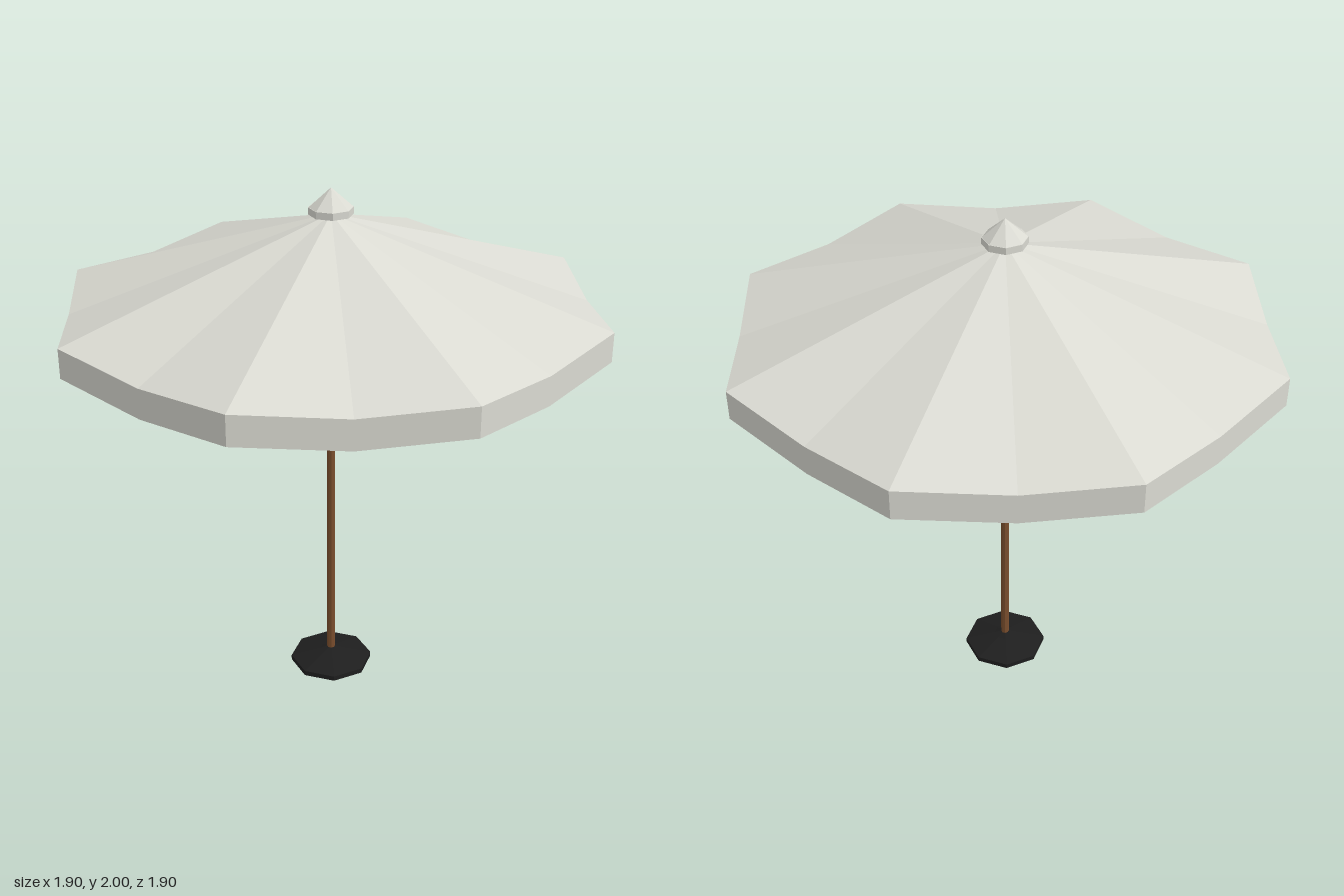
import * as THREE from 'three';

const SIDES = 8;

export function createModel() {
  const group = new THREE.Group();
  group.name = 'parasol';
  const material = (name, color, side = THREE.FrontSide) =>
    Object.assign(new THREE.MeshStandardMaterial({ color, flatShading: true, side }), { name });
  const fabric = material('pale fabric', 0xdadad2, THREE.DoubleSide);
  const wood = material('brown wood', 0x7a4e2d);
  const iron = material('black iron', 0x1e1e1e, THREE.DoubleSide);

  const add = (name, geometry, mat, y = 0, parent = group) => {
    const mesh = new THREE.Mesh(geometry, mat);
    mesh.name = name;
    mesh.position.y = y;
    parent.add(mesh);
    return mesh;
  };

  // Canopy rim: eight corners with sagging midpoints between them
  const R = 1.028;
  const rim = (i, drop) => {
    const a = Math.PI / 8 + (i * Math.PI) / 8;
    const middle = i % 2 === 1;
    const r = middle ? R * Math.cos(Math.PI / 8) : R;
    return [r * Math.sin(a), (middle ? 1.55 : 1.58) - drop, r * Math.cos(a)];
  };
  const top = [], skirt = [];
  for (let i = 0; i < SIDES * 2; i++) {
    const a = rim(i, 0), b = rim(i + 1, 0), c = rim(i, 0.11), d = rim(i + 1, 0.11);
    top.push(...[0, 1.905, 0], ...a, ...b);
    skirt.push(...a, ...c, ...d, ...a, ...d, ...b);
  }
  const surface = (points) => {
    const g = new THREE.BufferGeometry();
    g.setAttribute('position', new THREE.Float32BufferAttribute(points, 3));
    g.computeVertexNormals();
    return g;
  };
  add('canopy', surface(top), fabric);
  add('valance', surface(skirt), fabric);

  // Finial: short collar under a pointed cap
  add('finialCollar', new THREE.CylinderGeometry(0.082, 0.082, 0.026, SIDES), fabric, 1.916);
  add('finialCap', new THREE.ConeGeometry(0.08, 0.071, SIDES), fabric, 1.9645);

  // Pole and sliding hub
  add('pole', new THREE.CylinderGeometry(0.016, 0.016, 1.86, SIDES), wood, 0.96);
  add('hub', new THREE.CylinderGeometry(0.03, 0.03, 0.05, SIDES), wood, 1.33);

  // Ribs under the canopy seams, each braced by a strut from the hub
  const bar = (name, from, to, radius, parent) => {
    const dir = to.clone().sub(from);
    const mesh = add(name, new THREE.CylinderGeometry(radius, radius, dir.length(), 4), wood, 0, parent);
    mesh.position.copy(from).add(to).multiplyScalar(0.5);
    mesh.quaternion.setFromUnitVectors(new THREE.Vector3(0, 1, 0), dir.normalize());
  };
  for (let i = 0; i < SIDES; i++) {
    const arm = new THREE.Group();
    arm.name = 'frameArm';
    arm.rotation.y = Math.PI / 8 + (i * Math.PI) / 4;
    group.add(arm);
    bar('rib', new THREE.Vector3(0, 1.89, 0), new THREE.Vector3(0, 1.573, 1.015), 0.008, arm);
    bar('strut', new THREE.Vector3(0, 1.345, 0.02), new THREE.Vector3(0, 1.712, 0.54), 0.007, arm);
  }

  // Hollow weighted foot
  const profile = [[0.163, 0], [0.163, 0.02], [0.045, 0.05], [0.015, 0.06]]
    .map(([x, y]) => new THREE.Vector2(x, y));
  add('base', new THREE.LatheGeometry(profile, SIDES), iron);

  return group;
}
